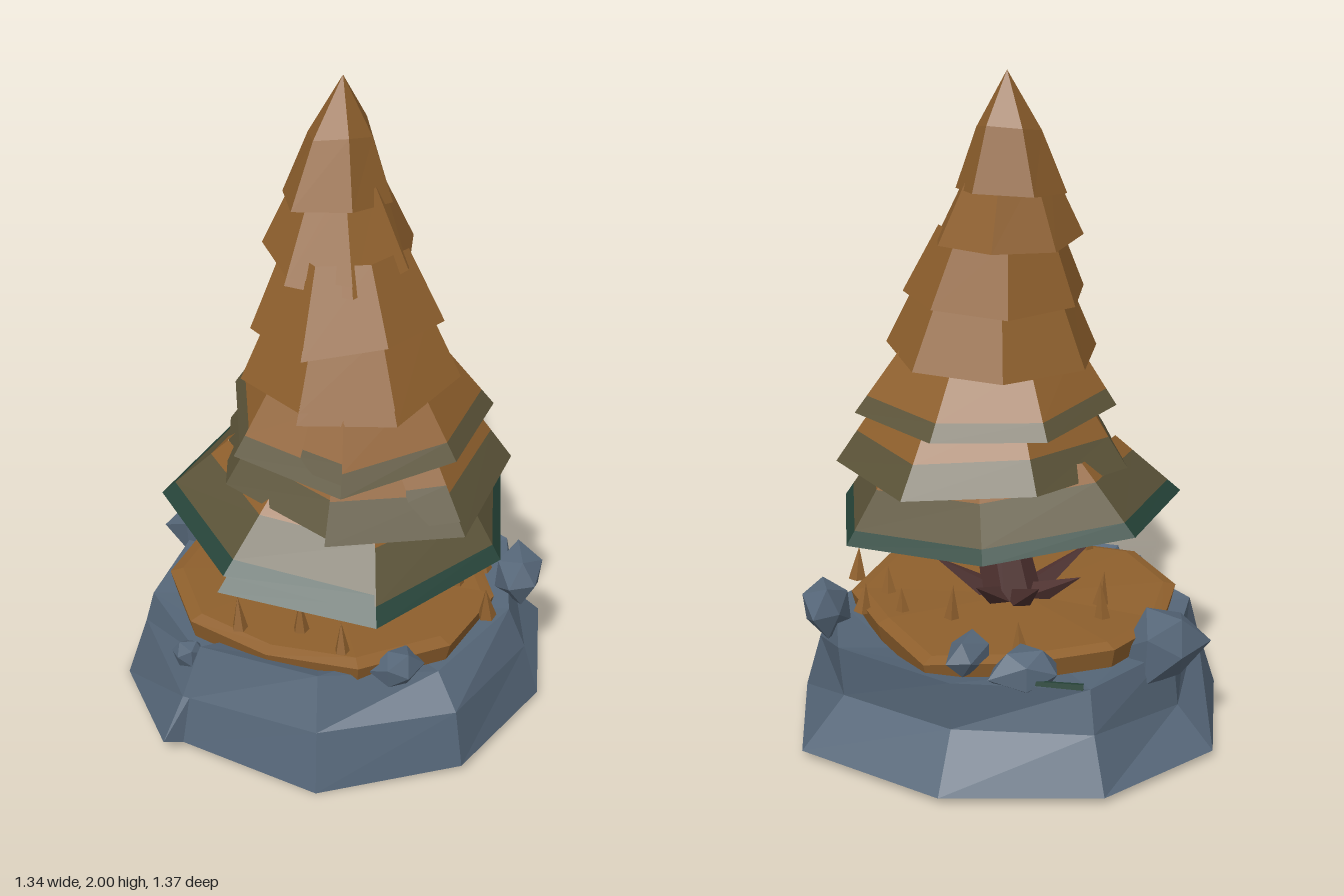
import * as THREE from 'three';

const material = (name, color) => {
  const m = new THREE.MeshStandardMaterial({ color, flatShading: true });
  m.name = name;
  return m;
};

function seeded(seed) {
  return () => {
    seed = (seed * 16807) % 2147483647;
    return seed / 2147483647;
  };
}

// Skins successive rings (running from +x towards +z, bottom to top); one material per strip
function loft(name, rings, mats, closed = true) {
  const used = [...new Set(mats)];
  const geo = new THREE.BufferGeometry();
  const pos = [];
  const tri = (a, b, c) => {
    if (a.distanceTo(b) < 1e-6 || b.distanceTo(c) < 1e-6 || a.distanceTo(c) < 1e-6) return;
    for (const p of [a, b, c]) pos.push(p.x, p.y, p.z);
  };
  for (let s = 0; s < rings.length - 1; s++) {
    const lo = rings[s], hi = rings[s + 1], n = lo.length, start = pos.length / 3;
    for (let i = 0; i < (closed ? n : n - 1); i++) {
      const j = (i + 1) % n;
      tri(lo[i], hi[i], lo[j]);
      tri(hi[i], hi[j], lo[j]);
    }
    geo.addGroup(start, pos.length / 3 - start, used.indexOf(mats[s]));
  }
  geo.setAttribute('position', new THREE.Float32BufferAttribute(pos, 3));
  geo.computeVertexNormals();
  const mesh = new THREE.Mesh(geo, used);
  mesh.name = name;
  return mesh;
}

const V = (x, y, z) => new THREE.Vector3(x, y, z);
const UP = V(0, 1, 0);

// Tapered rod or spike between two points
function rod(name, from, to, r0, r1, sides, mat) {
  const dir = to.clone().sub(from);
  const mesh = new THREE.Mesh(new THREE.CylinderGeometry(r1, r0, dir.length(), sides), mat);
  mesh.position.copy(from).add(to).multiplyScalar(0.5);
  mesh.quaternion.setFromUnitVectors(UP, dir.normalize());
  mesh.name = name;
  return mesh;
}

// Chipped stone: an icosahedron with its corners pushed in and out, flattened by sy
function boulder(x, y, z, r, sx, sy, sz, turn, mat) {
  const geo = new THREE.IcosahedronGeometry(1, 0);
  const p = geo.attributes.position, v = V(0, 0, 0);
  for (let i = 0; i < p.count; i++) {
    v.fromBufferAttribute(p, i);
    const k = r * (0.98 + 0.16 * Math.sin(v.x * 5 + v.y * 7 + v.z * 9 + turn * 3));
    p.setXYZ(i, v.x * k * sx, v.y * k * sy, v.z * k * sz);
  }
  geo.computeVertexNormals();
  const mesh = new THREE.Mesh(geo, mat);
  mesh.position.set(x, y, z);
  mesh.rotation.y = turn;
  mesh.name = 'boulder';
  return mesh;
}

export function createModel() {
  const rand = seeded(4217);
  const rock = material('slate rock', 0x566779);
  const amber = material('autumn amber', 0x8f602d);
  const olive = material('dull olive', 0x5c5439);
  const green = material('deep green', 0x264439);
  const bark = material('dark bark', 0x4f3230);
  const model = new THREE.Group();
  model.name = 'treeOnRock';

  // Rock plinth: x, z, foot height, middle height and scale, top height and scale; stepped crack at the front
  const outline = [
    [0.67, 0.07, 0.02, 0.2, 0.95, 0.3, 0.82], [0.45, 0.46, 0, 0.19, 0.93, 0.35, 0.83],
    [0.03, 0.62, 0.03, 0.18, 0.95, 0.345, 0.87], [0.01, 0.68, 0.05, 0.18, 0.88, 0.3, 0.78],
    [-0.39, 0.5, 0, 0.2, 0.9, 0.3, 0.86], [-0.67, 0.08, 0.02, 0.14, 0.82, 0.32, 0.79],
    [-0.59, -0.35, 0.02, 0.18, 0.88, 0.31, 0.83], [-0.22, -0.65, 0.02, 0.19, 0.85, 0.34, 0.86],
    [0.28, -0.69, 0.02, 0.17, 0.81, 0.33, 0.83], [0.58, -0.36, 0.02, 0.19, 0.93, 0.32, 0.85],
  ];
  const plinth = [
    outline.map(() => V(0, 0.01, 0)),
    outline.map(([x, z, y]) => V(x, y, z)),
    outline.map(([x, z, , y, k]) => V(x * k, y, z * k)),
    outline.map(([x, z, , , , y, k]) => V(x * k, y, z * k)),
    outline.map(([x, z]) => V(x * 0.6, 0.29, z * 0.6)),
    outline.map(() => V(0, 0.29, 0)),
  ];
  model.add(loft('rockPlinth', plinth, Array(5).fill(rock)));

  // Leaf-covered ground disc
  const radii = [0.54, 0.53, 0.47, 0.5, 0.49, 0.46, 0.48, 0.46, 0.55, 0.48, 0.53];
  const disc = (k, y) => radii.map((r, i) => {
    const a = (i / radii.length) * Math.PI * 2;
    return V(Math.cos(a) * r * k, y + (k > 0.5 ? 0.008 * Math.sin(i * 2.3) : 0), Math.sin(a) * r * k);
  });
  model.add(loft('groundDisc', [disc(0, 0.28), disc(0.97, 0.3), disc(1, 0.36), disc(0.92, 0.372), disc(0, 0.37)],
    Array(4).fill(amber)));

  // Mossy sliver on the plinth rim
  model.add(rod('moss', V(-0.48, 0.322, -0.31), V(-0.3, 0.332, -0.43), 0.012, 0.008, 4, green));

  // Boulders around the edge: position, radius, stretch in x, y, z, turn
  const boulders = [
    [-0.495, 0.32, 0.07, 0.13, 0.9, 0.95, 1.15, 0.2], [0.42, 0.36, -0.43, 0.1, 1.05, 0.85, 0.8, -0.7],
    [0.49, 0.34, 0.17, 0.085, 0.85, 0.8, 1.05, 0.4], [-0.04, 0.285, 0.53, 0.052, 1, 0.9, 0.8, 1.1],
    [-0.31, 0.345, -0.37, 0.1, 1.15, 0.8, 0.85, 0.8], [-0.14, 0.37, -0.42, 0.085, 1.2, 0.7, 0.8, 2],
  ];
  for (const b of boulders) model.add(boulder(...b, rock));

  // Grass spikes
  const tufts = [
    [0.06, 0.41], [0.36, 0.27], [0.19, 0.28], [0.19, -0.33], [0.05, -0.27], [-0.24, -0.3], [-0.3, 0.02],
    [-0.23, 0.1], [0.32, -0.37], [0.5, -0.2], [0.33, -0.24],
  ];
  for (const [x, z] of tufts) {
    const tip = V(x + (rand() - 0.5) * 0.03, 0.44 + rand() * 0.05, z + (rand() - 0.5) * 0.03);
    model.add(rod('grassSpike', V(x, 0.35, z), tip, 0.029, 0, 5, amber));
  }

  // Leaning trunk and flared root spikes
  model.add(rod('trunk', V(0.035, 0.34, 0), V(0.145, 0.8, 0), 0.095, 0.06, 7, bark));
  for (let i = 0; i < 7; i++) {
    const a = (i / 7) * Math.PI * 2 + 0.2, c = Math.cos(a), s = Math.sin(a);
    const reach = 0.26 - 0.05 * (i % 2);
    model.add(rod('root', V(0.03 + c * 0.05, 0.36, s * 0.05),
      V(0.01 + c * reach, 0.46 + 0.035 * ((i + 1) % 2), s * reach), 0.045, 0, 4, bark));
  }

  // Foliage tiers: centre x, z, rim height, rim radius, top radius, height, tilt, phase, bands [material, upper fraction]
  const tiers = [
    [0.07, 0.01, 0.645, 0.53, 0.36, 0.2, -0.08, 32, [[green, 0.2], [olive, 0.74], [amber, 1]]],
    [0.11, -0.04, 0.82, 0.45, 0.315, 0.2, -0.03, 5, [[olive, 0.46], [amber, 1]]],
    [0.11, -0.025, 0.975, 0.39, 0.26, 0.19, -0.03, 50, [[olive, 0.26], [amber, 1]]],
    [0.105, 0, 1.135, 0.32, 0.23, 0.2, 0.03, 20, [[amber, 1]]],
    [0.09, 0, 1.31, 0.275, 0.18, 0.21, 0, 70, [[amber, 1]]],
    [0.05, -0.01, 1.49, 0.225, 0.12, 0.22, -0.03, 35, [[amber, 1]]],
  ];
  const n = 7;
  tiers.forEach(([cx, cz, y0, r0, r1, h, tilt, phase, bands], t) => {
    const next = tiers[t + 1] || [0.02, -0.025];
    // The skirt wraps past a full turn, its last panel lapping over the first
    const jitter = Array.from({ length: n + 2 }, () => [0.97 + rand() * 0.07, (rand() - 0.5) * 0.025]);
    const ring = (f) => jitter.map(([k, dy], i) => {
      const a = THREE.MathUtils.degToRad(phase) + (i / n) * Math.PI * 2;
      const lap = i >= n ? 1 - f : 0;
      const r = THREE.MathUtils.lerp(r0, r1, f) * (i >= n ? jitter[i - n][0] : k) * (1 + 0.05 * lap);
      const dx = Math.cos(a) * r;
      const x = THREE.MathUtils.lerp(cx, (cx + next[0]) / 2, f) + dx;
      const z = THREE.MathUtils.lerp(cz, (cz + next[1]) / 2, f) + Math.sin(a) * r;
      return V(x, y0 + h * f + dy + tilt * dx - 0.03 * lap, z);
    });
    const under = jitter.map(() => V(cx, y0 + 0.09, cz));
    const rings = [under, ring(0)], mats = [bands[0][0]];
    for (const [m, f] of bands) {
      rings.push(ring(f));
      mats.push(m);
    }
    model.add(loft('foliageTier' + (t + 1), rings, mats, false));
  });

  // Pointed crown
  const crown = (r, y, x, z) => Array.from({ length: 6 }, (_, i) => {
    const a = (i / 6) * Math.PI * 2 + 0.5, k = 1 + 0.06 * Math.sin(i * 2.1);
    return V(x + Math.cos(a) * r * k, y + 0.015 * Math.cos(i * 1.7) * (r > 0), z + Math.sin(a) * r * k);
  });
  model.add(loft('crown', [crown(0, 1.72, 0.02, -0.02), crown(0.172, 1.655, 0.02, -0.02),
    crown(0.1, 1.84, 0.015, -0.035), crown(0, 2, 0.01, -0.05)], Array(3).fill(amber)));

  return model;
}
